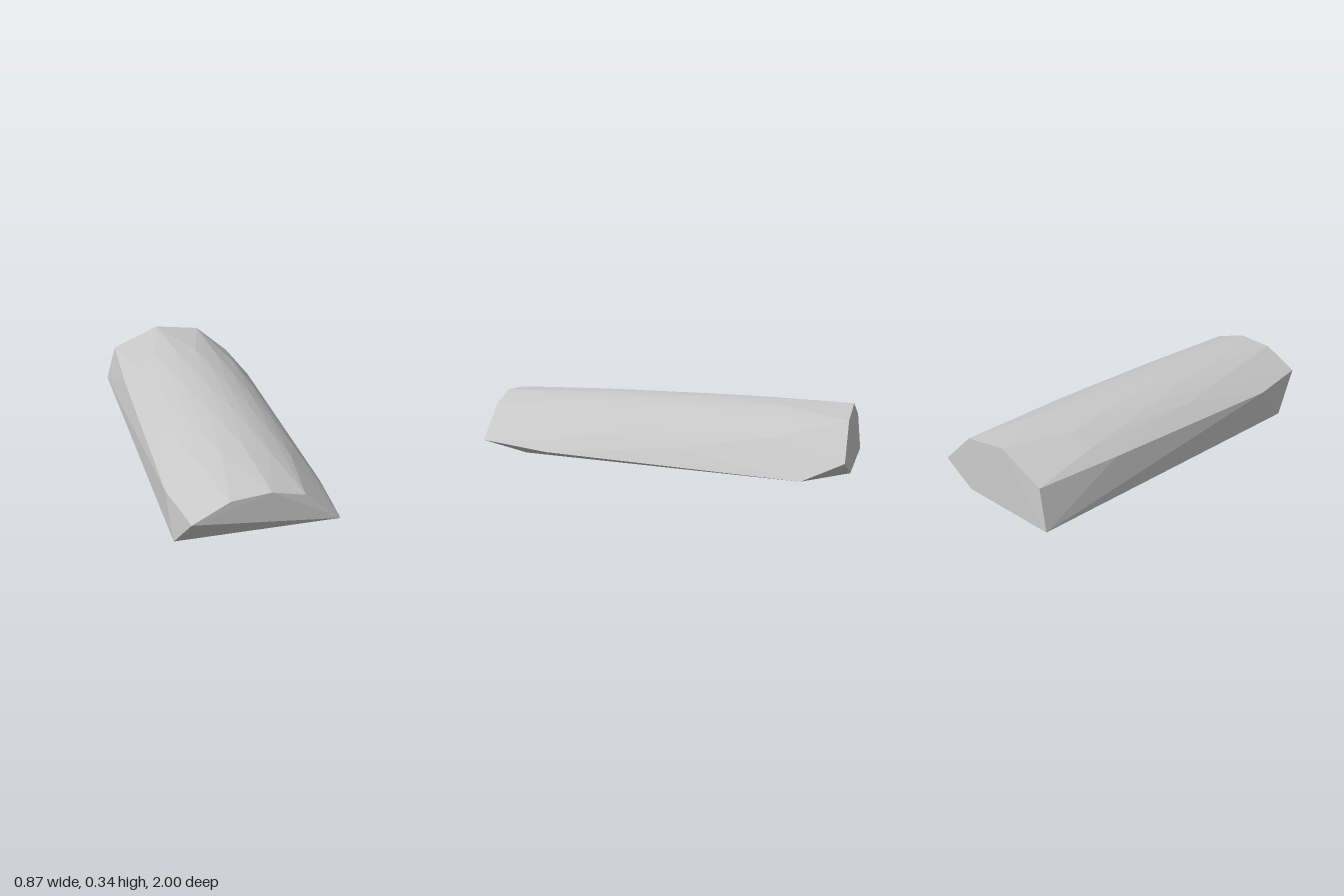
import * as THREE from 'three';
import { ConvexGeometry } from 'three/addons/geometries/ConvexGeometry.js';

export function createModel() {
  const group = new THREE.Group();
  const stone = new THREE.MeshStandardMaterial({ color: 0xc8c8c8 });
  stone.name = 'light grey stone';

  const points = [];
  const add = (x, y, z) => points.push(new THREE.Vector3(x, y, z));

  // front end
  add(-0.39, 0.21, 1);
  add(-0.2, 0.31, 1);
  add(0, 0.325, 1);
  add(0.175, 0.275, 0.99);
  add(0.362, 0.105, 0.99);

  // back end
  add(-0.382, 0.212, -0.985);
  add(-0.11, 0.325, -0.985);
  add(0.155, 0.283, -0.985);
  add(0.352, 0.1, -0.99);

  // flat underside
  add(-0.437, 0, 0.82);
  add(0.175, 0, 0.82);
  add(-0.437, 0, -1);
  add(0.145, 0, -1);

  // outermost corners of the long sides
  add(0.436, 0.015, -0.78);
  add(0.405, 0.07, 0.6);
  add(-0.437, 0.19, 0.65);
  add(-0.41, 0.208, -0.5);

  // staggered rows on the arched back, bulging slightly at mid length
  [-0.6, -0.35, -0.1, 0.15, 0.38, 0.6].forEach((z, row) => {
    const radius = 0.531 - 0.011 * z * z;
    for (let i = 0; i < 6; i++) {
      const x = -0.33 + i * 0.125 + (row % 3) * 0.035;
      add(x, -0.19 + Math.sqrt(radius ** 2 - (x + 0.06) ** 2), z);
    }
  });

  const rock = new THREE.Mesh(new ConvexGeometry(points), stone);
  rock.name = 'rockSlab';
  group.add(rock);
  return group;
}
